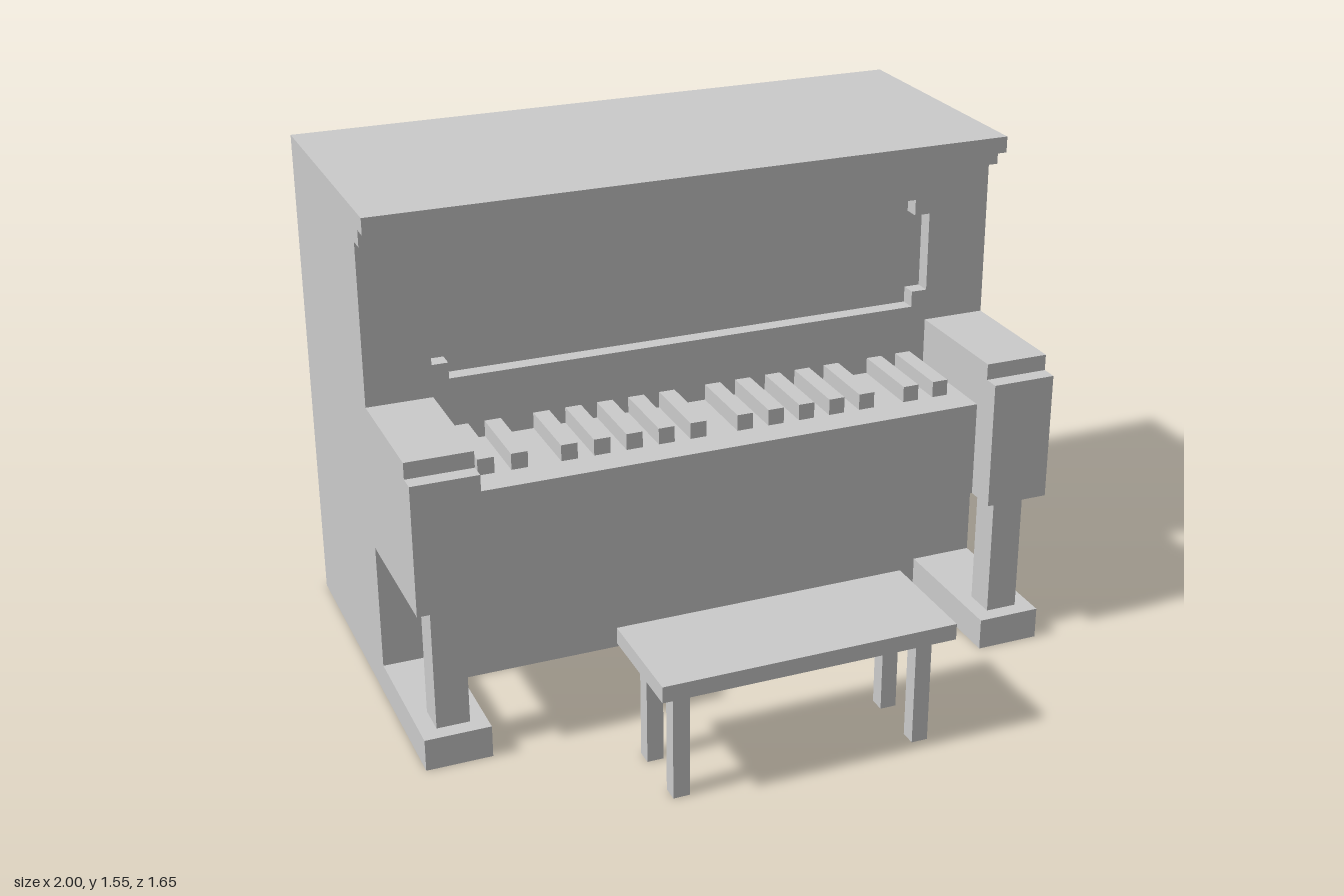
import * as THREE from 'three';

const material = new THREE.MeshStandardMaterial({ color: 0xcccccc, flatShading: true });

function add(parent, name, geometry) {
  const mesh = new THREE.Mesh(geometry, material);
  mesh.name = name;
  parent.add(mesh);
  return mesh;
}

// Box given by its limits on each axis
function block(parent, name, [x0, x1], [y0, y1], [z0, z1]) {
  const mesh = add(parent, name, new THREE.BoxGeometry(x1 - x0, y1 - y0, z1 - z0));
  mesh.position.set((x0 + x1) / 2, (y0 + y1) / 2, (z0 + z1) / 2);
  return mesh;
}

const toPoints = (list) => list.map(([a, b]) => new THREE.Vector2(a, b));

// Side outline of [z, y] points, extruded across x from x0 to x1
function sideProfile(parent, name, outline, x0, x1) {
  const shape = new THREE.Shape(toPoints(outline));
  const geometry = new THREE.ExtrudeGeometry(shape, { depth: x1 - x0, bevelEnabled: false });
  geometry.rotateY(-Math.PI / 2).scale(1, 1, 1);
  geometry.translate(x1, 0, 0);
  return add(parent, name, geometry);
}

export function createModel() {
  const model = new THREE.Group();
  model.name = 'uprightPiano';
  const back = -0.825, front = -0.075, recess = -0.125;

  // Case with the stepped cornice at the top
  sideProfile(model, 'case', [
    [back, 0], [recess, 0], [recess, 1.45], [-0.025, 1.45],
    [-0.025, 1.5], [0.025, 1.5], [0.025, 1.55], [back, 1.55],
  ], -1, 1);

  // Front panel with a notched-corner recess
  const panel = new THREE.Shape(toPoints([[-1, 0], [1, 0], [1, 1.45], [-1, 1.45]]));
  panel.holes.push(new THREE.Path(toPoints([
    [-0.75, 1], [-0.75, 1.05], [-0.8, 1.05], [-0.8, 1.3], [-0.75, 1.3], [-0.75, 1.35],
    [0.75, 1.35], [0.75, 1.3], [0.8, 1.3], [0.8, 1.05], [0.75, 1.05], [0.75, 1],
  ])));
  const panelGeometry = new THREE.ExtrudeGeometry(panel, { depth: front - recess, bevelEnabled: false });
  add(model, 'frontPanel', panelGeometry).position.z = recess;

  // Key bed and raised keys, in groups of two, five, five and two
  block(model, 'keyBed', [-0.8, 0.8], [0.5, 0.8], [front, 0.275]);
  const keys = new THREE.Group();
  keys.name = 'keys';
  model.add(keys);
  for (const [start, count] of [[-0.75, 2], [-0.5, 5], [0.05, 5], [0.6, 2]]) {
    for (let i = 0; i < count; i++) {
      const x = start + i * 0.1;
      block(keys, 'key', [x, x + 0.05], [0.8, 0.85], [front, 0.175]);
    }
  }

  // Arms, legs and feet on both sides
  for (const [side, x0] of [['left', 0.8], ['right', -1]]) {
    sideProfile(model, side + 'Arm', [
      [front, 0.5], [0.375, 0.5], [0.375, 0.9], [0.325, 0.9], [0.325, 0.95], [front, 0.95],
    ], x0, x0 + 0.2);
    block(model, side + 'Leg', [x0 + 0.05, x0 + 0.15], [0.1, 0.5], [0.225, 0.325]);
    block(model, side + 'Foot', [x0, x0 + 0.2], [0, 0.1], [front, 0.375]);
  }

  // Bench
  const bench = new THREE.Group();
  bench.name = 'bench';
  model.add(bench);
  block(bench, 'benchSeat', [-0.45, 0.45], [0.35, 0.4], [0.475, 0.825]);
  for (const x of [-0.4, 0.35]) {
    for (const z of [0.525, 0.725]) {
      block(bench, 'benchLeg', [x, x + 0.05], [0, 0.35], [z, z + 0.05]);
    }
  }
  return model;
}
